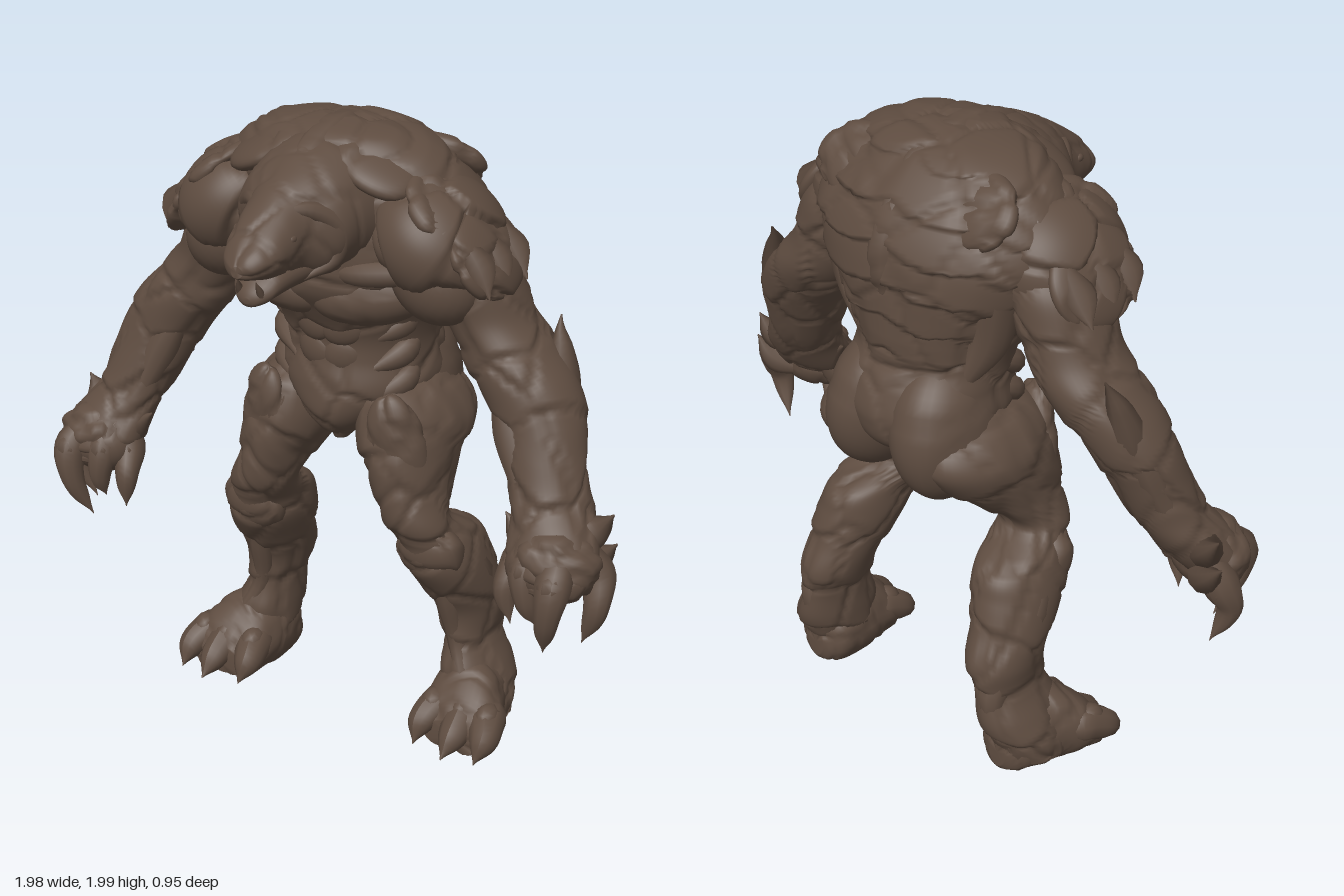
import * as THREE from 'three';
import { mergeVertices } from 'three/addons/utils/BufferGeometryUtils.js';

const hide = new THREE.MeshStandardMaterial({ color: 0x5e4c40 });
hide.name = 'brown hide';

// Smooth interpolation through rows of section numbers
function spline(rows, t) {
  const f = t * (rows.length - 1), i = Math.min(Math.floor(f), rows.length - 2), u = f - i;
  const at = k => rows[Math.max(0, Math.min(rows.length - 1, k))];
  const [a, b, c, d] = [at(i - 1), at(i), at(i + 1), at(i + 2)];
  return b.map((p, k) => p + 0.5 * u * (c[k] - a[k] + u * (2 * a[k] - 5 * p + 4 * c[k] - d[k] + u * (3 * (p - c[k]) + d[k] - a[k]))));
}

// Elliptical loft; rows are [along, centreX, centreOther, radiusX, radiusOther]
function loft(rows, { axis = 'y', rings = 80, sides = 44, bump = () => 1 } = {}) {
  const pos = [], idx = [];
  const put = (x, o, a) => axis === 'y' ? pos.push(x, a, o) : pos.push(x, o, a);
  for (let i = 0; i <= rings; i++) {
    const [a, cx, co, rx, ro] = spline(rows, i / rings);
    for (let j = 0; j < sides; j++) {
      const th = j / sides * Math.PI * 2, k = bump(a, th);
      put(cx + Math.cos(th) * rx * k, co + (axis === 'y' ? 1 : -1) * Math.sin(th) * ro * k, a);
    }
  }
  const first = rows[0], last = rows[rows.length - 1], n = (rings + 1) * sides;
  put(first[1], first[2], first[0]);
  put(last[1], last[2], last[0]);
  for (let j = 0; j < sides; j++) {
    const j2 = (j + 1) % sides;
    for (let i = 0; i < rings; i++) {
      const a = i * sides + j, b = i * sides + j2;
      idx.push(a, a + sides, b, b, a + sides, b + sides);
    }
    idx.push(n, j, j2, n + 1, rings * sides + j2, rings * sides + j);
  }
  const g = new THREE.BufferGeometry();
  g.setAttribute('position', new THREE.Float32BufferAttribute(pos, 3));
  g.setIndex(idx);
  g.computeVertexNormals();
  return g;
}

const hash = (x, y, z, s) => { const v = Math.sin(x * 127.1 + y * 311.7 + z * 74.7 + s * 53.3) * 43758.5453; return v - Math.floor(v); };

// Splits a surface into raised plates with grooves between them
function crack(g, density, depth) {
  const p = g.attributes.position, nor = g.attributes.normal;
  for (let i = 0; i < p.count; i++) {
    const q = [p.getX(i) * density, p.getY(i) * density, p.getZ(i) * density], c = q.map(Math.floor);
    let f1 = 9, f2 = 9, lift = 0;
    for (let a = -1; a < 2; a++) for (let b = -1; b < 2; b++) for (let d = -1; d < 2; d++) {
      const k = [c[0] + a, c[1] + b, c[2] + d];
      const w = k.map((v, s) => v + hash(...k, s));
      const e = Math.hypot(w[0] - q[0], w[1] - q[1], w[2] - q[2]);
      if (e < f1) { f2 = f1; f1 = e; lift = w[1] - q[1]; } else if (e < f2) f2 = e;
    }
    const m = depth * (Math.min(1, (f2 - f1) * 7) - 0.8 + 0.8 * lift);
    p.setXYZ(i, p.getX(i) + nor.getX(i) * m, p.getY(i) + nor.getY(i) * m, p.getZ(i) + nor.getZ(i) * m);
  }
  g.computeVertexNormals();
  return g;
}

function ellipsoid(c, r, rot = [0, 0, 0], seg = 24) {
  const s = new THREE.SphereGeometry(1, seg, Math.round(seg * 0.7));
  s.deleteAttribute('uv');
  s.deleteAttribute('normal');
  const g = mergeVertices(s, 1e-4);
  g.applyMatrix4(new THREE.Matrix4().compose(new THREE.Vector3(...c),
    new THREE.Quaternion().setFromEuler(new THREE.Euler(...rot)), new THREE.Vector3(...r)));
  g.computeVertexNormals();
  return g;
}

// Tapered tube along a curve; radii are spread evenly over its length
function taper(points, radii, n = 14) {
  const curve = new THREE.CatmullRomCurve3(points.map(p => new THREE.Vector3(...p)));
  const g = new THREE.TubeGeometry(curve, n, 1, 10), p = g.attributes.position, v = new THREE.Vector3();
  for (let i = 0; i < p.count; i++) {
    const t = Math.floor(i / 11) / n, c = curve.getPointAt(t);
    v.fromBufferAttribute(p, i).sub(c).multiplyScalar(spline(radii.map(r => [r]), t)[0]).add(c);
    p.setXYZ(i, v.x, v.y, v.z);
  }
  return g;
}

function mirrored(g) {
  const m = g.clone().scale(-1, 1, 1), ix = m.index.array;
  for (let i = 0; i < ix.length; i += 3) [ix[i], ix[i + 1]] = [ix[i + 1], ix[i]];
  return m;
}

export function createModel() {
  const group = new THREE.Group();
  const add = (name, g) => { const m = new THREE.Mesh(g, hide); m.name = name; group.add(m); };
  const pair = (name, g) => { add(name + 'Left', g); add(name + 'Right', mirrored(g)); };

  // Torso, with zigzag overlapping bands across the back
  const bands = (y, th) => {
    const back = Math.max(0, -Math.sin(th));
    if (y < 1.36) return 1;
    const f = (y + 0.03 * Math.abs(Math.sin(th * 4)) + 0.05 * Math.cos(th) ** 2) / 0.115;
    return 1 + 0.06 * Math.sqrt(back) * (0.45 - (f - Math.floor(f)));
  };
  add('torso', crack(loft([
    [0.96, 0, -0.1, 0.03, 0.06], [1.05, 0, -0.18, 0.15, 0.22], [1.15, 0, -0.205, 0.25, 0.25], [1.25, 0, -0.205, 0.25, 0.23],
    [1.33, 0, -0.18, 0.255, 0.21], [1.42, 0, -0.16, 0.285, 0.24], [1.5, 0, -0.14, 0.34, 0.27], [1.6, 0, -0.14, 0.4, 0.28],
    [1.7, 0, -0.14, 0.43, 0.275], [1.8, 0, -0.125, 0.41, 0.255], [1.9, 0, -0.1, 0.33, 0.21], [1.96, 0, -0.085, 0.22, 0.145],
    [1.985, 0, -0.08, 0.06, 0.05]], { rings: 140, sides: 96, bump: bands }), 5, 0.009));
  add('spineRidge', crack(taper([[0, 1.82, 0.25], [0, 1.9, 0.09], [0, 1.93, -0.09], [0, 1.87, -0.24], [0, 1.7, -0.355], [0, 1.4, -0.35]],
    [0.03, 0.065, 0.065, 0.065, 0.06, 0.02], 60), 7, 0.008));
  pair('neckPlate', crack(ellipsoid([0.19, 1.885, 0.01], [0.15, 0.045, 0.13], [0.25, 0, -0.42], 36), 6, 0.01));
  pair('shoulderBlade', crack(ellipsoid([0.2, 1.83, -0.24], [0.17, 0.12, 0.05], [-2.5, -0.15, 0], 36), 6, 0.012));
  pair('chestMuscle', crack(ellipsoid([0.15, 1.485, 0.01], [0.185, 0.095, 0.105], [0, 0.3, 0.15], 32), 6, 0.004));
  pair('collarMuscle', taper([[0.02, 1.56, 0.07], [0.15, 1.575, 0.1], [0.34, 1.6, 0.05]], [0.015, 0.04, 0.04]));
  for (let i = 0; i < 3; i++) {
    const y = 1.36 - i * 0.095;
    pair('abdominal' + (i + 1), ellipsoid([0.055 - i * 0.006, y, 0.004 - i * 0.012], [0.078 - i * 0.006, 0.064, 0.036], [0, 0.25, 0.4], 18));
    pair('sideMuscle' + (i + 1), taper([[0.18, y + 0.07, -0.2], [0.212, y + 0.02, -0.09], [0.12, y - 0.05, -0.01]], [0.005, 0.04, 0.008]));
  }
  pair('backMuscle', taper([[0.3, 1.6, -0.24], [0.265, 1.45, -0.24], [0.19, 1.27, -0.27]], [0.07, 0.06, 0.02]));
  pair('buttock', crack(ellipsoid([0.125, 1.12, -0.27], [0.15, 0.23, 0.195], [0.3, 0, 0.15], 36), 4, 0.005));
  add('pelvisPlate', ellipsoid([0, 1.09, -0.045], [0.1, 0.12, 0.06], [0.15, 0, 0], 18));

  // Head, jaws and brows
  add('head', crack(loft([
    [-0.02, 0, 1.75, 0.24, 0.2], [0.06, 0, 1.755, 0.22, 0.205], [0.14, 0, 1.75, 0.2, 0.185], [0.21, 0, 1.735, 0.178, 0.165],
    [0.28, 0, 1.725, 0.115, 0.135], [0.35, 0, 1.71, 0.1, 0.1], [0.41, 0, 1.695, 0.088, 0.067], [0.46, 0, 1.678, 0.055, 0.037],
    [0.482, 0, 1.668, 0.02, 0.016]], { axis: 'z', rings: 64, sides: 56 }), 7, 0.006));
  add('lowerJaw', loft([[0.1, 0, 1.62, 0.13, 0.07], [0.2, 0, 1.625, 0.115, 0.06], [0.3, 0, 1.62, 0.092, 0.058],
    [0.37, 0, 1.607, 0.078, 0.052], [0.4, 0, 1.587, 0.062, 0.038], [0.425, 0, 1.572, 0.035, 0.024], [0.435, 0, 1.568, 0.01, 0.008]],
  { axis: 'z', rings: 28, sides: 24 }));
  pair('brow', taper([[0.03, 1.8, 0.32], [0.1, 1.8, 0.25], [0.155, 1.74, 0.19], [0.14, 1.65, 0.2], [0.085, 1.6, 0.27]], [0.012, 0.028, 0.032, 0.024, 0.006], 20));
  pair('eye', ellipsoid([0.09, 1.74, 0.335], [0.014, 0.014, 0.02], [0, 0, 0], 10));
  pair('fang', taper([[0.035, 1.575, 0.405], [0.034, 1.605, 0.42], [0.03, 1.63, 0.43]], [0.014, 0.01, 0.001], 6));

  // Shoulders under two broad overlapping layers of armour
  pair('shoulder', crack(ellipsoid([0.34, 1.69, -0.05], [0.205, 0.165, 0.215], [0, 0, -0.7], 64), 5, 0.018));
  pair('deltoid', ellipsoid([0.36, 1.57, -0.01], [0.15, 0.13, 0.125], [0, 0, -0.6], 28));
  pair('lowerShoulderPlate', crack(ellipsoid([0.49, 1.66, -0.06], [0.05, 0.145, 0.17], [0, 0, 0.5], 48), 6, 0.014));
  pair('upperShoulderPlate', crack(ellipsoid([0.385, 1.775, -0.05], [0.05, 0.15, 0.18], [0, 0, 0.85], 48), 6, 0.014));
  [-0.16, -0.06, 0.04].forEach((z, i) => pair('shoulderPoint' + (i + 1),
    taper([[0.47, 1.72, z], [0.525, 1.64, z], [0.572 - i * 0.006, 1.56, z]], [0.02, 0.05, 0.002], 8)));

  // Arms: from wrist up to shoulder
  pair('arm', crack(loft([
    [0.76, 0.83, 0.12, 0.1, 0.075], [0.82, 0.815, 0.085, 0.135, 0.11], [0.92, 0.785, 0.025, 0.13, 0.115], [1, 0.74, -0.02, 0.122, 0.11],
    [1.1, 0.7, -0.055, 0.132, 0.115], [1.2, 0.66, -0.085, 0.146, 0.125], [1.3, 0.595, -0.105, 0.16, 0.14], [1.38, 0.53, -0.12, 0.155, 0.145],
    [1.46, 0.47, -0.12, 0.14, 0.145], [1.55, 0.43, -0.11, 0.14, 0.155], [1.65, 0.39, -0.1, 0.14, 0.16], [1.74, 0.34, -0.1, 0.1, 0.12]],
  { rings: 96, sides: 48 }), 6, 0.011));
  pair('elbowSpike', taper([[0.69, 1.1, -0.09], [0.7, 1.24, -0.14], [0.685, 1.36, -0.175], [0.668, 1.42, -0.195], [0.662, 1.455, -0.21]], [0.01, 0.06, 0.06, 0.035, 0.002], 18));
  pair('forearmRidge', taper([[0.62, 1.38, -0.12], [0.73, 1.22, -0.13], [0.78, 1.05, -0.08], [0.84, 0.9, -0.01]], [0.01, 0.05, 0.045, 0.04]));
  pair('innerForearm', taper([[0.53, 1.32, -0.06], [0.61, 1.17, -0.01], [0.69, 0.98, 0.04]], [0.01, 0.055, 0.03]));
  [[0.95, 0.96, -0.03], [0.965, 0.87, -0.03], [0.64, 0.92, 0.05]].forEach((tip, i) => pair('wristSpike' + (i + 1),
    taper([[0.8 + (i < 2 ? 0.03 : -0.02), tip[1] - 0.1, 0.04], [(tip[0] * 2 + 0.82) / 3, tip[1] - 0.05, tip[2] + 0.01], tip], [0.03, 0.052, 0.002])));

  // Hands: three clawed fingers and a thumb on a broad palm
  pair('palm', crack(ellipsoid([0.825, 0.815, 0.095], [0.145, 0.11, 0.105], [0.3, 0.2, 0], 32), 7, 0.012));
  [[[0.88, 0.87, 0.02], [0.93, 0.78, 0.02], [0.945, 0.69, 0.05], [0.895, 0.55, 0.03]],
    [[0.85, 0.87, 0.1], [0.87, 0.79, 0.185], [0.86, 0.69, 0.195], [0.825, 0.55, 0.14]],
    [[0.78, 0.87, 0.09], [0.765, 0.8, 0.15], [0.775, 0.71, 0.16], [0.785, 0.62, 0.12]],
    [[0.75, 0.87, 0.06], [0.71, 0.79, 0.09], [0.69, 0.72, 0.13], [0.705, 0.6, 0.12]]]
    .forEach((pts, i) => {
      pair(i < 3 ? 'finger' + (i + 1) : 'thumb', taper(pts, [0.03, 0.056, 0.042, 0.028, 0.001], 20));
      pair('knuckle' + (i + 1), ellipsoid(pts[1], [0.05, 0.06, 0.053], [0.4, 0, 0], 9));
    });

  // Legs: from ankle up to hip
  pair('leg', crack(loft([
    [0.04, 0.42, -0.22, 0.11, 0.11], [0.12, 0.415, -0.23, 0.115, 0.135], [0.2, 0.395, -0.25, 0.1, 0.145], [0.3, 0.37, -0.265, 0.08, 0.13],
    [0.4, 0.36, -0.27, 0.1, 0.135], [0.5, 0.345, -0.22, 0.117, 0.145], [0.6, 0.325, -0.17, 0.125, 0.165], [0.68, 0.31, -0.145, 0.115, 0.155],
    [0.76, 0.28, -0.055, 0.105, 0.105], [0.85, 0.245, -0.09, 0.115, 0.15], [0.95, 0.215, -0.145, 0.145, 0.21], [1.05, 0.195, -0.19, 0.16, 0.24],
    [1.14, 0.175, -0.19, 0.125, 0.2], [1.2, 0.16, -0.19, 0.06, 0.1]], { rings: 100, sides: 48 }), 6, 0.011));
  pair('thighPlate', crack(ellipsoid([0.235, 0.99, -0.01], [0.095, 0.19, 0.06], [0.1, 0.3, 0.12], 36), 6, 0.01));
  pair('kneePlate', crack(ellipsoid([0.325, 0.65, -0.065], [0.11, 0.1, 0.07], [0.3, 0.1, 0], 28), 7, 0.01));
  pair('shinRidge', taper([[0.33, 0.64, -0.1], [0.35, 0.47, -0.13], [0.37, 0.3, -0.165], [0.42, 0.18, -0.13]], [0.01, 0.038, 0.03, 0.03]));
  pair('calfMuscle', taper([[0.38, 0.7, -0.14], [0.415, 0.56, -0.2], [0.39, 0.4, -0.3], [0.385, 0.27, -0.36], [0.39, 0.17, -0.34]], [0.01, 0.045, 0.05, 0.05, 0.02]));

  // Feet: flat-soled, with three clawed toes
  const flatten = g => {
    const p = g.attributes.position;
    for (let i = 0; i < p.count; i++) p.setY(i, Math.max(0, p.getY(i)));
    g.computeVertexNormals();
    return g;
  };
  pair('foot', flatten(crack(loft([
    [-0.35, 0.4, 0.07, 0.03, 0.05], [-0.31, 0.4, 0.08, 0.095, 0.1], [-0.2, 0.41, 0.1, 0.12, 0.14], [-0.12, 0.43, 0.09, 0.135, 0.13],
    [-0.05, 0.445, 0.065, 0.135, 0.095], [-0.01, 0.445, 0.045, 0.1, 0.05]], { axis: 'z', rings: 40, sides: 40 }), 8, 0.007)));
  [[0.375, 0.335, 0.04], [0.445, 0.455, 0.075], [0.5, 0.555, 0.045]].forEach(([x0, x1, z], i) => {
    pair('toe' + (i + 1), flatten(taper([[x0, 0.1, -0.17], [(x0 + x1) / 2, 0.1, -0.09], [x1, 0.07, -0.02], [x1, 0.012, z]], [0.03, 0.06, 0.055, 0.04, 0.001], 18)));
    pair('toeKnuckle' + (i + 1), ellipsoid([(x0 + x1 * 2) / 3, 0.12, -0.07], [0.042, 0.042, 0.05], [0.5, 0, 0], 10));
  });
  return group;
}
